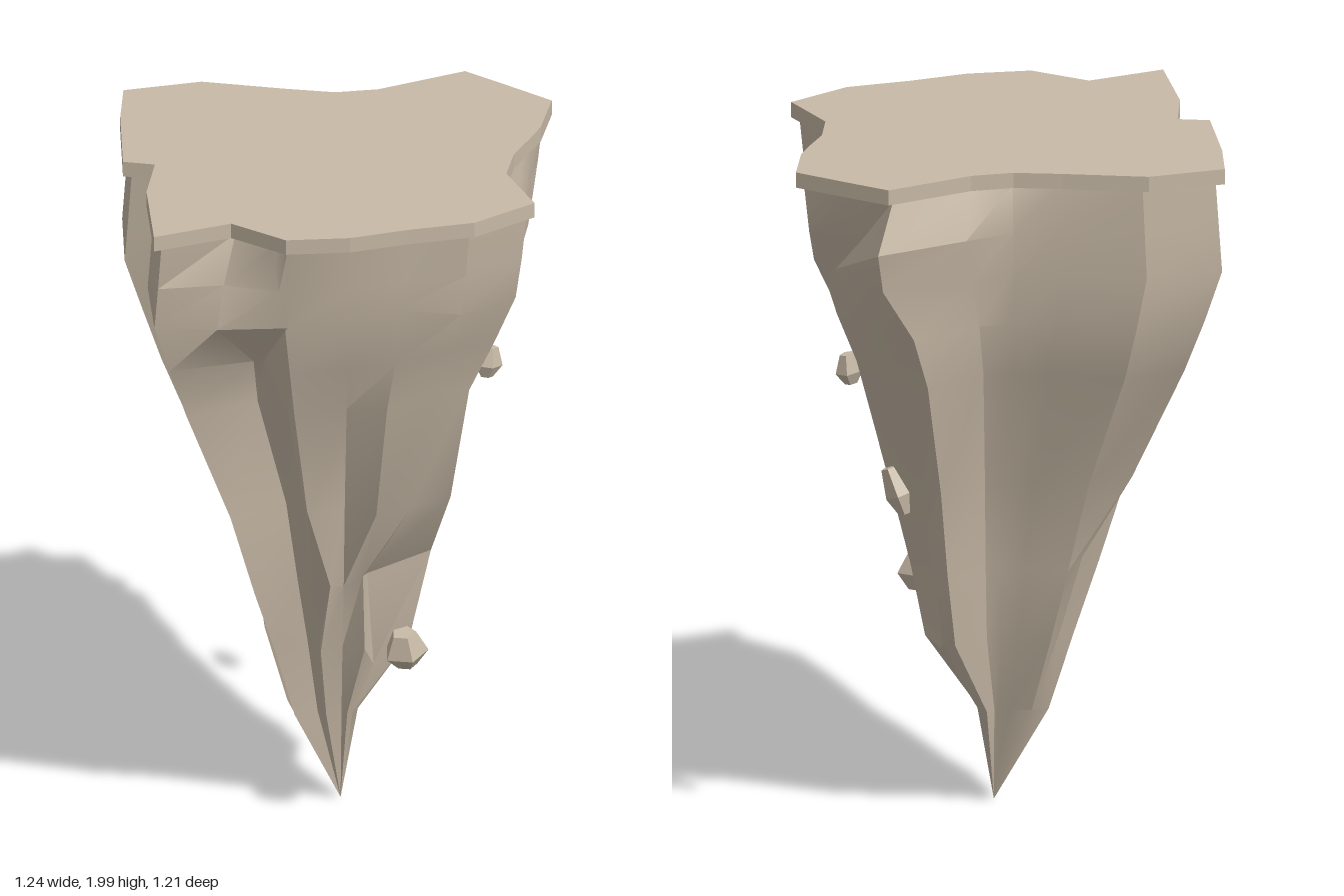
import * as THREE from 'three';
import { toCreasedNormals } from 'three/addons/utils/BufferGeometryUtils.js';

// Plateau outline as [x, z]
const OUTLINE = [
  [-0.595, -0.468], [-0.37, -0.517], [-0.13, -0.455], [0.007, -0.425], [0.13, -0.44], [0.383, -0.555],
  [0.483, -0.465], [0.62, -0.338], [0.58, -0.155], [0.543, -0.07], [0.495, 0.03], [0.467, 0.165],
  [0.537, 0.375], [0.36, 0.505], [0.17, 0.545], [0, 0.595], [-0.183, 0.602], [-0.227, 0.565],
  [-0.333, 0.478], [-0.557, 0.562], [-0.563, 0.245], [-0.53, 0.055], [-0.62, 0.032], [-0.613, -0.28],
];

// Cross-section extents: y, left, right, back, front
const RINGS = [
  [1.96, 0.595, 0.595, 0.535, 0.58],
  [1.82, 0.605, 0.58, 0.535, 0.56],
  [1.69, 0.615, 0.56, 0.53, 0.54],
  [1.54, 0.565, 0.49, 0.51, 0.505],
  [1.38, 0.51, 0.41, 0.455, 0.455],
  [1.02, 0.365, 0.31, 0.285, 0.365],
  [0.75, 0.285, 0.265, 0.22, 0.285],
  [0.53, 0.215, 0.22, 0.17, 0.19],
  [0.3, 0.15, 0.055, 0.07, 0.115],
];
const APEX = [0, 0.01, 0.04];

// How strongly a column is cut in as a gully (or pushed out as a ridge) further down
const GULLY = { 1: -0.05, 3: 0.06, 4: 0.1, 5: -0.03, 10: 0.14, 14: -0.03, 15: 0.2, 17: 0.16, 18: 0.16, 21: 0.12 };

// Hand-placed ledge points, by column and then ring
const LEDGES = {
  // rear left ledge
  0: { 5: [-0.365, 1.02, -0.2], 6: [-0.23, 0.77, -0.14], 7: [-0.17, 0.53, -0.09] },
  // rear spur and the hollow beneath it
  3: { 1: [0.007, 1.82, -0.428] },
  4: { 1: [0.15, 1.82, -0.485], 2: [0.125, 1.68, -0.43] },
  5: { 1: [0.42, 1.82, -0.607], 2: [0.4, 1.7, -0.565] },
  6: { 1: [0.435, 1.82, -0.41], 2: [0.5, 1.7, -0.305], 3: [0.43, 1.54, -0.35], 4: [0.36, 1.38, -0.33] },
  // right ridge
  7: { 2: [0.535, 1.69, -0.275], 3: [0.49, 1.55, -0.25], 4: [0.43, 1.41, -0.23], 5: [0.265, 1.06, -0.24], 6: [0.19, 0.75, -0.15], 7: [0.17, 0.5, -0.085] },
  8: { 2: [0.545, 1.69, -0.17], 4: [0.425, 1.39, -0.185], 5: [0.325, 1.02, -0.13], 6: [0.255, 0.75, -0.075], 7: [0.21, 0.53, -0.05] },
  9: { 1: [0.535, 1.82, -0.07], 2: [0.53, 1.69, -0.08], 3: [0.475, 1.54, -0.1], 4: [0.4, 1.38, -0.11] },
  10: { 1: [0.51, 1.82, 0.03], 2: [0.5, 1.69, 0.03], 3: [0.42, 1.54, -0.01], 4: [0.355, 1.38, -0.03] },
  11: { 2: [0.425, 1.72, 0.165], 3: [0.365, 1.56, 0.085], 4: [0.32, 1.44, 0.03], 5: [0.24, 1.04, 0.025] },
  // lower front ledge
  12: { 5: [0.305, 1.02, 0.22], 6: [0.255, 0.8, 0.095] },
  13: { 3: [0.305, 1.56, 0.4], 4: [0.26, 1.42, 0.37], 5: [0.19, 1.02, 0.29], 6: [0.07, 0.76, 0.16], 7: [0.09, 0.46, 0.12] },
  14: { 2: [0.14, 1.73, 0.5], 6: [0.055, 0.78, 0.225] },
  16: { 5: [-0.11, 1.04, 0.35], 6: [-0.04, 0.77, 0.27] },
  // front shelf with undercut
  17: { 1: [-0.2, 1.82, 0.555], 2: [-0.175, 1.7, 0.545], 3: [-0.235, 1.54, 0.405] },
  18: { 1: [-0.355, 1.82, 0.505], 2: [-0.375, 1.69, 0.525], 3: [-0.265, 1.535, 0.4] },
  // left ledge
  22: { 5: [-0.35, 0.98, 0], 6: [-0.25, 0.8, 0.005] },
};

function bodyPoint(r, c) {
  const placed = LEDGES[c]?.[r];
  if (placed) return placed;
  const [y, left, right, back, front] = RINGS[r];
  const [x, z] = OUTLINE[c];
  const cut = 1 - (GULLY[c] || 0) * THREE.MathUtils.smoothstep(1.75 - y, 0, 0.7);
  const sx = (x < 0 ? left : right) / 0.62;
  const sz = z < 0 ? back / 0.555 : front / 0.602;
  const cz = y < 1 ? 0.03 * (1 - y) : 0;
  return [x * sx * cut, y, cz + (z * sz - cz) * cut];
}

function createBody() {
  const n = OUTLINE.length;
  const positions = [];
  const index = [];
  RINGS.forEach((_, r) => {
    for (let c = 0; c < n; c++) positions.push(...bodyPoint(r, c));
  });
  positions.push(...APEX);
  const apex = RINGS.length * n;
  for (let r = 0; r < RINGS.length; r++) {
    for (let c = 0; c < n; c++) {
      const a = r * n + c;
      const b = r * n + (c + 1) % n;
      if (r === RINGS.length - 1) index.push(a, b, apex);
      else index.push(a, b, b + n, a, b + n, a + n);
    }
  }
  const geo = new THREE.BufferGeometry();
  geo.setAttribute('position', new THREE.Float32BufferAttribute(positions, 3));
  geo.setIndex(index);
  return toCreasedNormals(geo, 0.42);
}

// Thin slab following the outline
function createPlateau() {
  const shape = new THREE.Shape(OUTLINE.map(([x, z]) => new THREE.Vector2(x, -z)));
  const geo = new THREE.ExtrudeGeometry(shape, { depth: 0.045, bevelEnabled: false });
  geo.rotateX(-Math.PI / 2).translate(0, 1.955, 0);
  return geo;
}

// Small stone: tapered top over a narrowing base
function createStone(width, height, depth) {
  const top = new THREE.CylinderGeometry(0.3, 0.55, 0.6, 5).translate(0, 0.2, 0);
  const base = new THREE.CylinderGeometry(0.55, 0.25, 0.4, 5).translate(0, -0.3, 0);
  return [top, base].map((g) => toCreasedNormals(g.scale(width, height, depth), 0.3));
}

export function createModel() {
  const model = new THREE.Group();
  model.name = 'floatingRock';
  const stone = new THREE.MeshStandardMaterial({ color: 0xc7b9a6 });
  stone.name = 'sandstone';

  const add = (name, geo, parent = model) => {
    const mesh = new THREE.Mesh(geo, stone);
    mesh.name = name;
    parent.add(mesh);
  };

  add('rockBody', createBody());
  add('plateau', createPlateau());

  // Loose stones: position, size, tilt
  const stones = [
    [[0.425, 1.325, -0.037], [0.08, 0.09, 0.06], [0, 0.4, -0.15]],
    [[0.33, 1.04, -0.325], [0.06, 0.14, 0.09], [0.3, 0.3, -0.35]],
    [[0.17, 0.605, 0.345], [0.12, 0.11, 0.11], [0.15, 0.3, 0.1]],
  ];
  stones.forEach(([pos, size, tilt], i) => {
    const group = new THREE.Group();
    group.name = 'looseStone' + (i + 1);
    const [top, base] = createStone(...size);
    add('stoneTop', top, group);
    add('stoneBase', base, group);
    group.position.set(...pos);
    group.rotation.set(...tilt);
    model.add(group);
  });
  return model;
}
